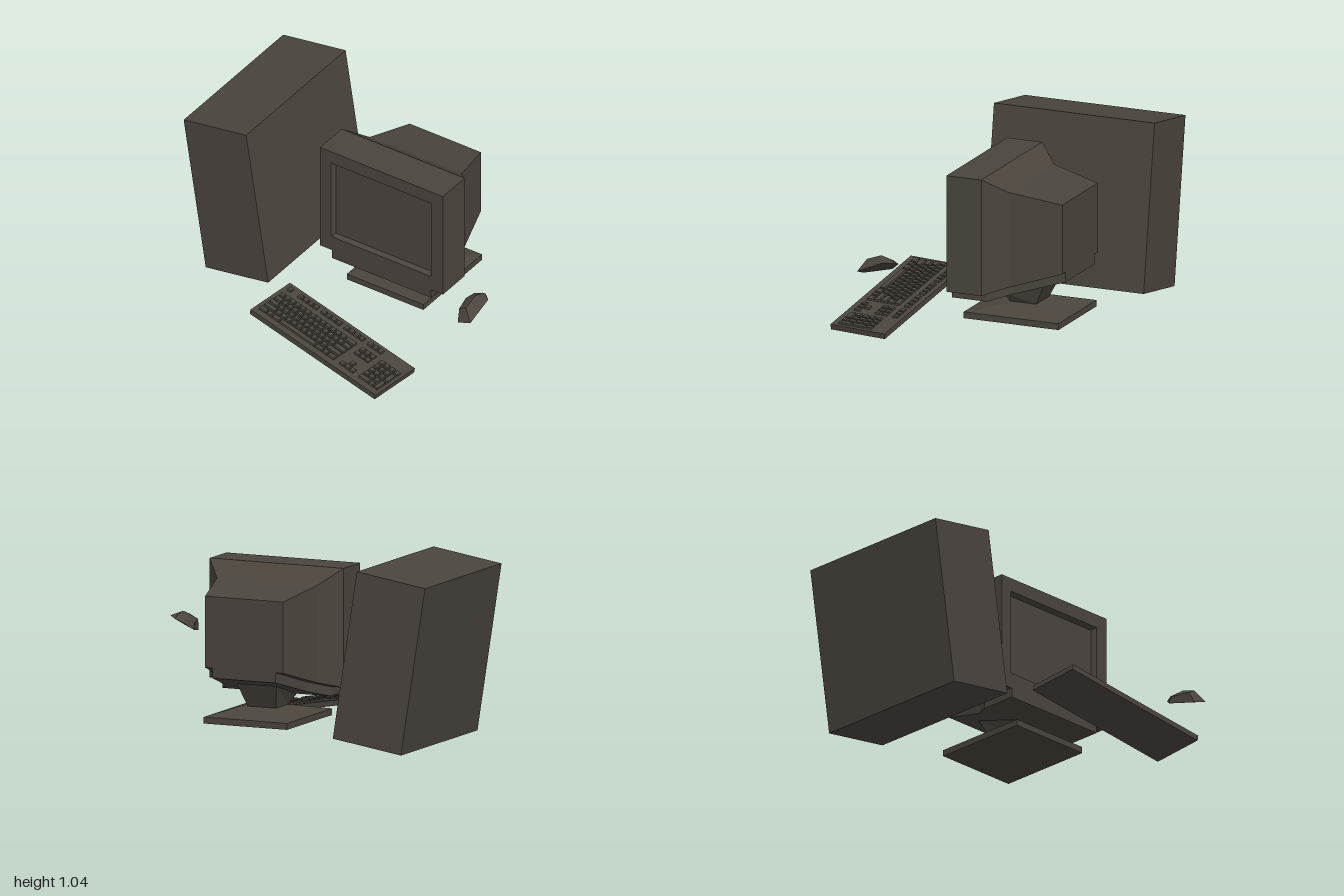
import * as THREE from 'three';
import { mergeGeometries } from 'three/addons/utils/BufferGeometryUtils.js';
import { ConvexGeometry } from 'three/addons/geometries/ConvexGeometry.js';

// Four-cornered sections: upright ones run front to back, level ones top to bottom
const upright = (cx, hw, y0, y1, z) =>
  [[cx - hw, y0, z], [cx + hw, y0, z], [cx + hw, y1, z], [cx - hw, y1, z]];
const level = (cx, hw, zFront, zBack, y, yBack = y) =>
  [[cx - hw, y, zFront], [cx + hw, y, zFront], [cx + hw, yBack, zBack], [cx - hw, yBack, zBack]];

// Closed, hard-edged solid through a list of sections
function loft(sections) {
  const pos = [];
  const quad = (a, b, c, d) => pos.push(...a, ...b, ...c, ...a, ...c, ...d);
  quad(...sections[0]);
  for (let i = 0; i < sections.length - 1; i++) {
    const s = sections[i], t = sections[i + 1];
    for (let j = 0; j < 4; j++) {
      const k = (j + 1) % 4;
      quad(s[j], t[j], t[k], s[k]);
    }
  }
  quad(...[...sections[sections.length - 1]].reverse());
  const g = new THREE.BufferGeometry();
  g.setAttribute('position', new THREE.Float32BufferAttribute(pos, 3));
  g.computeVertexNormals();
  return g;
}

export function createModel() {
  const model = new THREE.Group();
  model.name = 'desktopComputer';
  const plastic = new THREE.MeshStandardMaterial({ color: 0x4a443d });
  plastic.name = 'darkPlastic';
  const add = (parent, name, geometry) => {
    const mesh = new THREE.Mesh(geometry, plastic);
    mesh.name = name;
    parent.add(mesh);
    return mesh;
  };

  // Leaning tower case
  const tower = add(model, 'towerCase', new THREE.BoxGeometry(0.42, 0.949, 0.965));
  tower.position.set(-0.72, 0.543, -0.233);
  tower.rotation.z = 0.155;

  // Monitor shell, starting from the sunken screen
  const monitor = new THREE.Group();
  monitor.name = 'monitor';
  model.add(monitor);
  const cx = 0.157;
  add(monitor, 'monitorShell', loft([
    upright(cx - 0.003, 0.32, 0.4, 0.873, -0.01),
    upright(cx - 0.003, 0.332, 0.39, 0.885, 0.02),
    upright(cx, 0.408, 0.3, 0.963, 0.02),
    upright(cx, 0.408, 0.3, 0.963, -0.19),
    upright(cx, 0.305, 0.337, 0.878, -0.31),
    upright(cx, 0.237, 0.427, 0.823, -0.6),
  ]));

  // Narrower strip under the shell
  add(monitor, 'monitorChin', loft([
    upright(cx, 0.33, 0.247, 0.3, 0.02),
    upright(cx, 0.33, 0.247, 0.3, -0.19),
    upright(cx, 0.247, 0.283, 0.338, -0.31),
    upright(cx, 0.192, 0.37, 0.428, -0.6),
  ]));

  // Swivel neck and base
  add(monitor, 'standNeck', loft([
    level(cx, 0.122, -0.18, -0.442, 0.25, 0.324),
    level(cx, 0.085, -0.222, -0.375, 0.188),
  ]));
  add(monitor, 'standBase', loft([
    level(cx, 0.122, -0.222, -0.375, 0.19),
    level(cx, 0.254, -0.015, -0.585, 0.148),
    level(cx, 0.254, -0.015, -0.585, 0.112),
  ]));

  // Tilted keyboard, its own top surface lying at y = 0
  const keyboard = new THREE.Group();
  keyboard.name = 'keyboard';
  model.add(keyboard);
  const ex = new THREE.Vector3(0.898, -0.167, 0.086).normalize();
  const ey = new THREE.Vector3(-0.032, 0.008, 0.337).normalize().cross(ex).normalize();
  const ez = ex.clone().cross(ey);
  keyboard.quaternion.setFromRotationMatrix(new THREE.Matrix4().makeBasis(ex, ey, ez));
  keyboard.position.set(0.158, 0.117, 0.495);
  const L = 0.908, D = 0.339;
  add(keyboard, 'keyboardBody', new THREE.BoxGeometry(L, 0.031, D)).position.y = -0.0155;

  // Tapered keys; u is the left edge, v the row centre, w the width in key units
  const keys = [], pitch = 0.0368;
  const key = (u, v, w = 1, d = 0.033) => {
    const hw = (w * pitch - 0.006) / 2, x = u + w * pitch / 2 - L / 2, z = v - D / 2;
    keys.push(loft([
      level(x, hw - 0.003, z + d / 2 - 0.003, z - d / 2 + 0.003, 0.01),
      level(x, hw, z + d / 2, z - d / 2, -0.002),
    ]));
  };
  const row = (u, v, widths) => {
    for (const w of widths) {
      key(u, v, w);
      u += w * pitch;
    }
  };
  const ones = (n) => Array(n).fill(1);
  const rows = [0.112, 0.155, 0.198, 0.241, 0.284];
  const main = 0.022, nav = 0.604, pad = 0.744;

  // Top row, in spaced groups
  row(main, 0.044, [1]);
  for (const u of [0.098, 0.265, 0.432]) row(u, 0.044, ones(4));
  row(nav, 0.044, ones(3));

  // Letter block
  [
    [...ones(13), 2],
    [1.5, ...ones(12), 1.5],
    [1.75, ...ones(11), 2.25],
    [2.25, ...ones(10), 2.75],
    [1.5, 1, 1.5, 7, 1.5, 1, 1.5],
  ].forEach((widths, i) => row(main, rows[i], widths));

  // Navigation and arrow keys
  row(nav, rows[0], ones(3));
  row(nav, rows[1], ones(3));
  key(nav + pitch, rows[3]);
  row(nav, rows[4], ones(3));

  // Number pad with two tall keys
  row(pad, rows[0], ones(4));
  for (const i of [1, 2, 3]) row(pad, rows[i], ones(3));
  row(pad, rows[4], [2, 1]);
  for (const i of [1, 3]) key(pad + 3 * pitch, (rows[i] + rows[i + 1]) / 2, 1, 0.076);
  add(keyboard, 'keys', mergeGeometries(keys));

  // Faceted, rolled-over mouse: underside outline, then the upper shell
  const mousePoints = [
    [0.986, 0.487, 0.368], [0.997, 0.556, 0.21], [0.944, 0.546, 0.16],
    [0.896, 0.529, 0.16], [0.857, 0.485, 0.213], [0.902, 0.457, 0.368],
    [0.936, 0.58, 0.245], [0.942, 0.567, 0.188], [0.932, 0.548, 0.333],
    [0.858, 0.519, 0.225], [0.89, 0.545, 0.19], [0.888, 0.525, 0.333],
  ];
  add(model, 'mouse', new ConvexGeometry(mousePoints.map((p) => new THREE.Vector3(...p))));

  return model;
}
